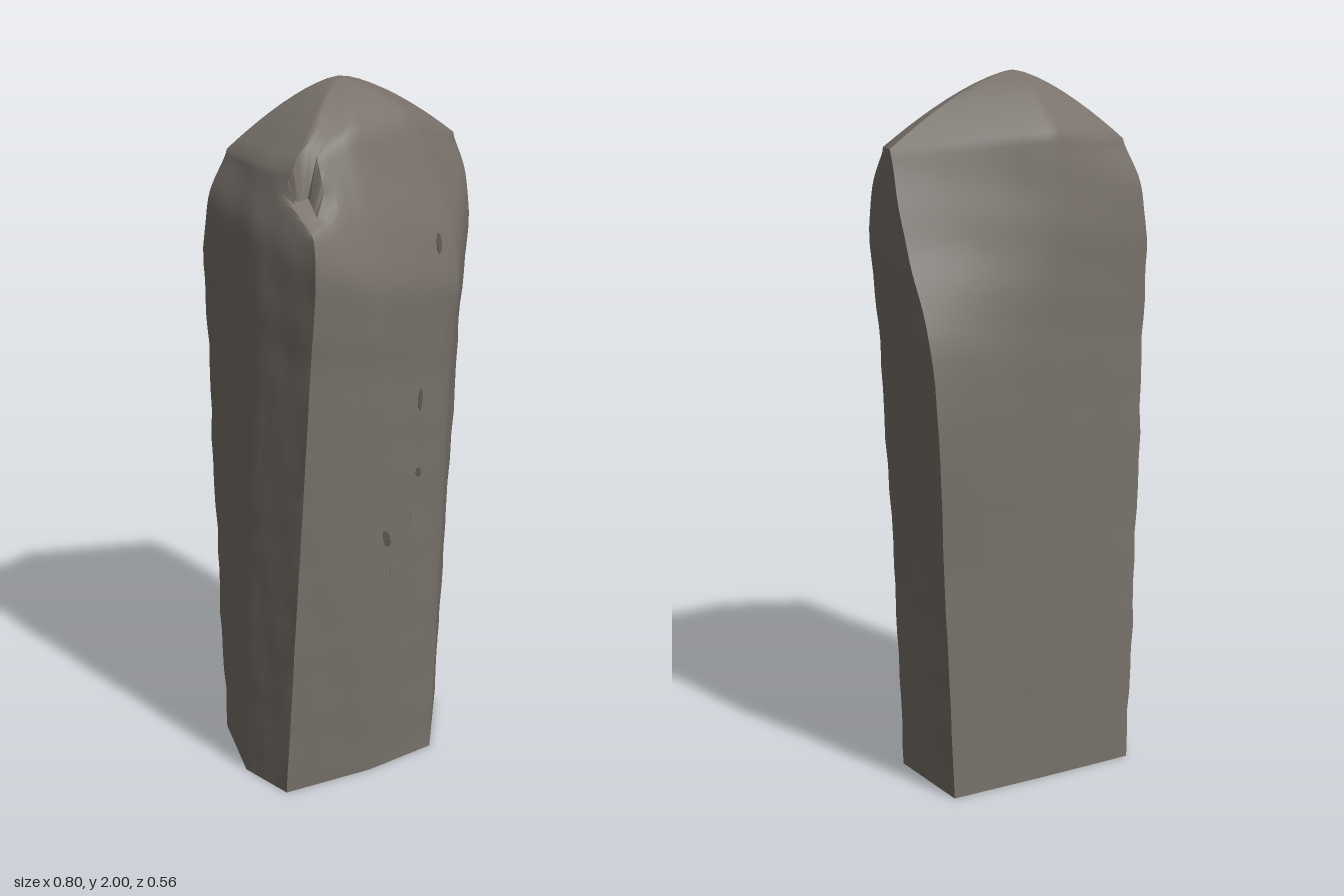
import * as THREE from 'three';
import { toCreasedNormals } from 'three/addons/utils/BufferGeometryUtils.js';

// Edge lines of the stone from the foot to the shoulder, going front, right, back, left
const EDGES = [
  [[-.4, 0, .14], [-.39, .6, .18], [-.375, 1.25, .22], [-.362, 1.62, .23], [-.31, 1.81, .12]],
  [[-.14, 0, .22], [-.15, .6, .25], [-.16, 1.25, .268], [-.16, 1.5, .272], [-.13, 1.89, .14]],
  [[.09, 0, .25], [.11, .6, .26], [.13, 1.2, .27], [.15, 1.49, .272], [.1, 1.9, .14]],
  [[.31, 0, .07], [.315, .6, .1], [.345, 1.25, .115], [.37, 1.65, .115], [.355, 1.8, .07]],
  [[.34, 0, -.23], [.365, .6, -.225], [.398, 1.25, -.22], [.397, 1.55, -.1], [.38, 1.8, 0]],
  [[.05, 0, -.255], [.05, .6, -.255], [.05, 1.25, -.25], [0, 1.6, -.24], [0, 1.84, -.21]],
  [[-.25, 0, -.275], [-.28, .6, -.265], [-.31, 1.25, -.25], [-.315, 1.65, -.24], [-.27, 1.81, -.2]],
  [[-.39, 0, -.04], [-.38, .6, -.03], [-.37, 1.25, 0], [-.355, 1.65, 0], [-.31, 1.8, -.02]],
];
const PEAK = new THREE.Vector3(-.02, 2, -.02);
const SEG = 6, BODY = 36, CROWN = 10;

function creaseMesh(positions, index, material, name) {
  const g = new THREE.BufferGeometry();
  g.setAttribute('position', new THREE.Float32BufferAttribute(positions, 3));
  g.setIndex(index);
  const mesh = new THREE.Mesh(toCreasedNormals(g, 0.8), material);
  mesh.name = name;
  return mesh;
}

// Point on an edge line; above the shoulder it bends over to the peak
function edgePoint(curve, row) {
  if (row <= BODY) return curve.getPoint(row / BODY);
  const t = (row - BODY) / CROWN;
  const s = curve.getPoint(1);
  const p = s.clone().lerp(PEAK, t);
  p.y = s.y + (PEAK.y - s.y) * (1 - Math.pow(1 - t, 1.45));
  return p;
}

function buildStone(material) {
  const curves = EDGES.map(e => new THREE.CatmullRomCurve3(e.map(p => new THREE.Vector3(...p))));
  const n = curves.length * SEG, rows = BODY + CROWN;
  const pos = [], idx = [], foot = [], footIdx = [];
  for (let r = 0; r <= rows; r++) {
    for (let k = 0; k < n; k++) {
      const c = Math.floor(k / SEG);
      const p = edgePoint(curves[c], r)
        .lerp(edgePoint(curves[(c + 1) % curves.length], r), (k % SEG) / SEG);
      // Hand-hewn unevenness on the sides
      const w = r > 0 && r < BODY
        ? .004 * Math.sin(p.y * 23 + k * 1.1) * Math.sin(p.y * 11 - k * .7) : 0;
      p.x *= 1 + w * 2;
      p.z *= 1 + w * 3;
      // Chip broken off the front corner of the shoulder
      if (p.x < -.27 && p.z > .1) {
        p.y = Math.min(p.y, 1.64 + .3 * (p.x + .37) + .6 * (.23 - p.z));
      }
      pos.push(p.x, p.y, p.z);
      if (r === 0) foot.push(p.x, 0, p.z);
    }
  }
  for (let r = 0; r < rows; r++) {
    for (let k = 0; k < n; k++) {
      const a = r * n + k, b = r * n + (k + 1) % n;
      idx.push(a, b, b + n);
      if (r < rows - 1) idx.push(a, b + n, a + n);
    }
  }
  // Flat underside
  foot.push(0, 0, 0);
  for (let k = 0; k < n; k++) footIdx.push(n, (k + 1) % n, k);
  return [
    creaseMesh(pos, idx, material, 'standingStone'),
    creaseMesh(foot, footIdx, material, 'underside'),
  ];
}

export function createModel() {
  const group = new THREE.Group();
  group.name = 'standingStone';
  const stone = new THREE.MeshStandardMaterial({ color: 0x78716a });
  stone.name = 'greyStone';
  const dark = new THREE.MeshStandardMaterial({ color: 0x5c5650 });
  dark.name = 'shadedStone';

  const [body, base] = buildStone(stone);
  group.add(body, base);

  // Small weathering pits on the front: x, y, width, height, tilt
  const pits = [
    [.09, 1.56, .02, .06, -.15], [.01, 1.13, .016, .065, -.1], [.01, .91, .02, .03, .3],
    [0, .78, .04, .04, 0], [-.11, .74, .025, .06, .4], [-.07, .63, .05, .05, 0],
  ];
  const ray = new THREE.Raycaster();
  for (const [x, y, w, h, tilt] of pits) {
    ray.set(new THREE.Vector3(x, y, 1), new THREE.Vector3(0, 0, -1));
    const hit = ray.intersectObject(body)[0];
    if (!hit) continue;
    const round = w === h;
    const g = new THREE.CylinderGeometry(.5, .5, .004, 7).rotateX(Math.PI / 2).scale(w, h, 1);
    const pit = new THREE.Mesh(g, round ? stone : dark);
    pit.name = 'pit';
    pit.position.copy(hit.point);
    pit.lookAt(hit.point.clone().add(hit.face.normal));
    pit.rotateZ(tilt);
    group.add(pit);
  }
  return group;
}
